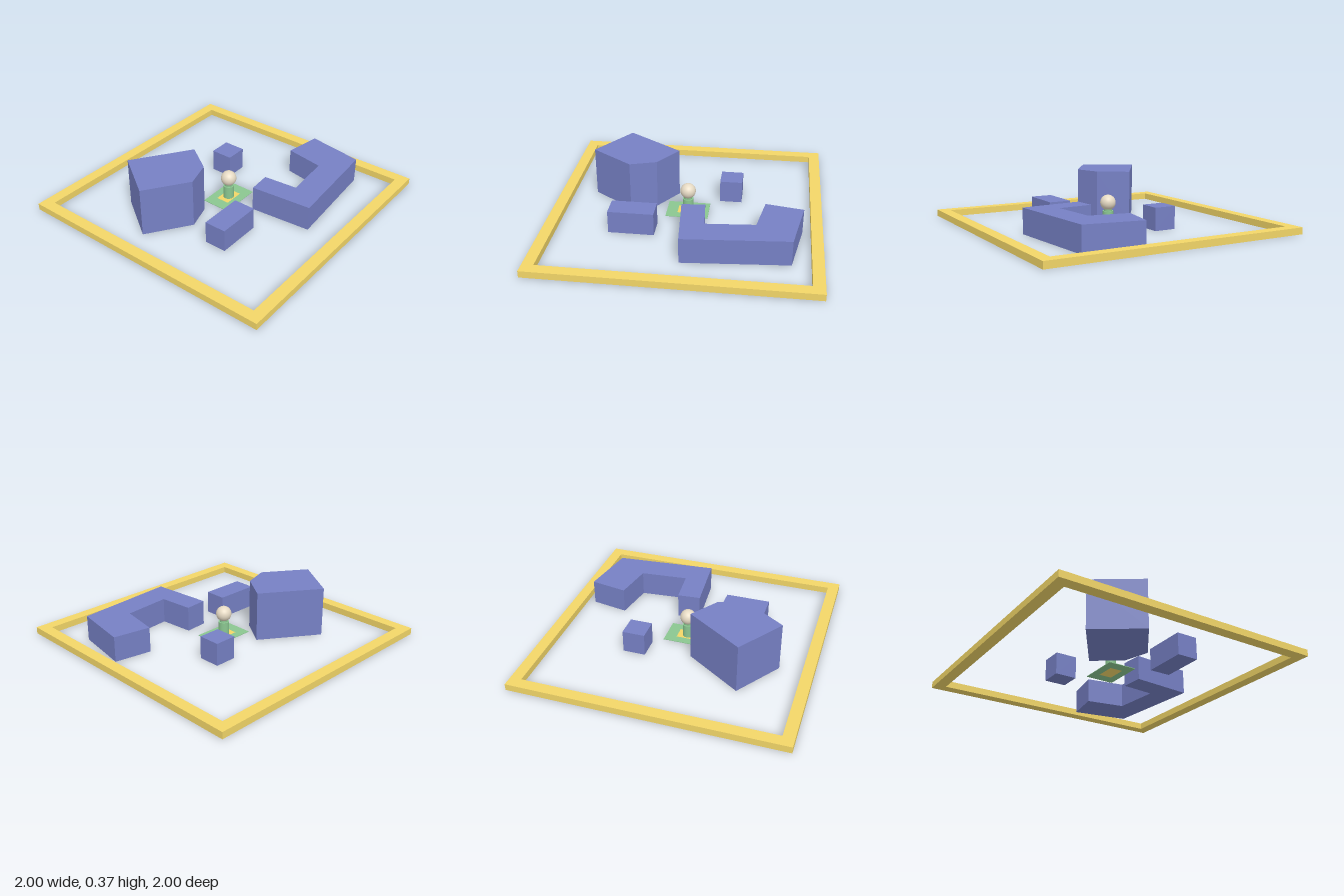
import * as THREE from 'three';

const BLUE = 0x7680c4, GOLD = 0xf2d668, GREEN = 0x8ac690, CREAM = 0xe6dac4;

function add(group, name, geometry, color, x = 0, y = 0, z = 0) {
  const mesh = new THREE.Mesh(geometry, new THREE.MeshStandardMaterial({ color }));
  mesh.name = name;
  mesh.position.set(x, y, z);
  group.add(mesh);
}

// Rectangle outline centred on the origin, from half width and half depth
const rect = (w, d) => [[-w, d], [w, d], [w, -d], [-w, -d]];

// Upright prism from an outline of [x, z] corners, with an optional hole
function prism(outline, height, hole) {
  const points = (list) => list.map(([x, z]) => new THREE.Vector2(x, -z));
  const shape = new THREE.Shape(points(outline));
  if (hole) shape.holes.push(new THREE.Path(points(hole)));
  return new THREE.ExtrudeGeometry(shape, { depth: height, bevelEnabled: false }).rotateX(-Math.PI / 2);
}

export function createModel() {
  const model = new THREE.Group();
  model.name = 'walledCourtyard';

  // Square border
  add(model, 'borderFrame', prism(rect(1, 1), 0.05, rect(0.917, 0.917)), GOLD);

  // Angular buildings
  add(model, 'tallBuilding', prism(
    [[-0.515, -0.527], [-0.098, -0.247], [-0.24, -0.038], [-0.435, 0.024], [-0.745, -0.187]], 0.373), BLUE);
  add(model, 'uShapedBuilding', prism(
    [[-0.018, 0.24], [0.153, 0.227], [0.175, 0.485], [0.53, 0.455],
      [0.582, 0.162], [0.858, 0.211], [0.784, 0.637], [0.022, 0.7]], 0.19), BLUE);

  // Small rectangular blocks
  add(model, 'longBlock', new THREE.BoxGeometry(0.333, 0.17, 0.165), BLUE, -0.367, 0.085, 0.3);
  add(model, 'cubeBlock', new THREE.BoxGeometry(0.167, 0.17, 0.167), BLUE, 0.31, 0.085, -0.25);

  // Flat mat with an inset panel
  add(model, 'mat', prism(rect(0.158, 0.11), 0.004, rect(0.075, 0.05)), GREEN);
  add(model, 'matPanel', prism(rect(0.075, 0.05), 0.004), GOLD);

  // Central figure: body, neck and head
  const figure = new THREE.Group();
  figure.name = 'centralFigure';
  add(figure, 'body', new THREE.CylinderGeometry(0.04, 0.04, 0.101, 32), GREEN, 0, 0.0545);
  add(figure, 'neck', new THREE.CylinderGeometry(0.03, 0.03, 0.04, 32), GREEN, 0, 0.12);
  add(figure, 'head', new THREE.SphereGeometry(0.058, 32, 20), CREAM, 0, 0.168);
  model.add(figure);

  return model;
}
